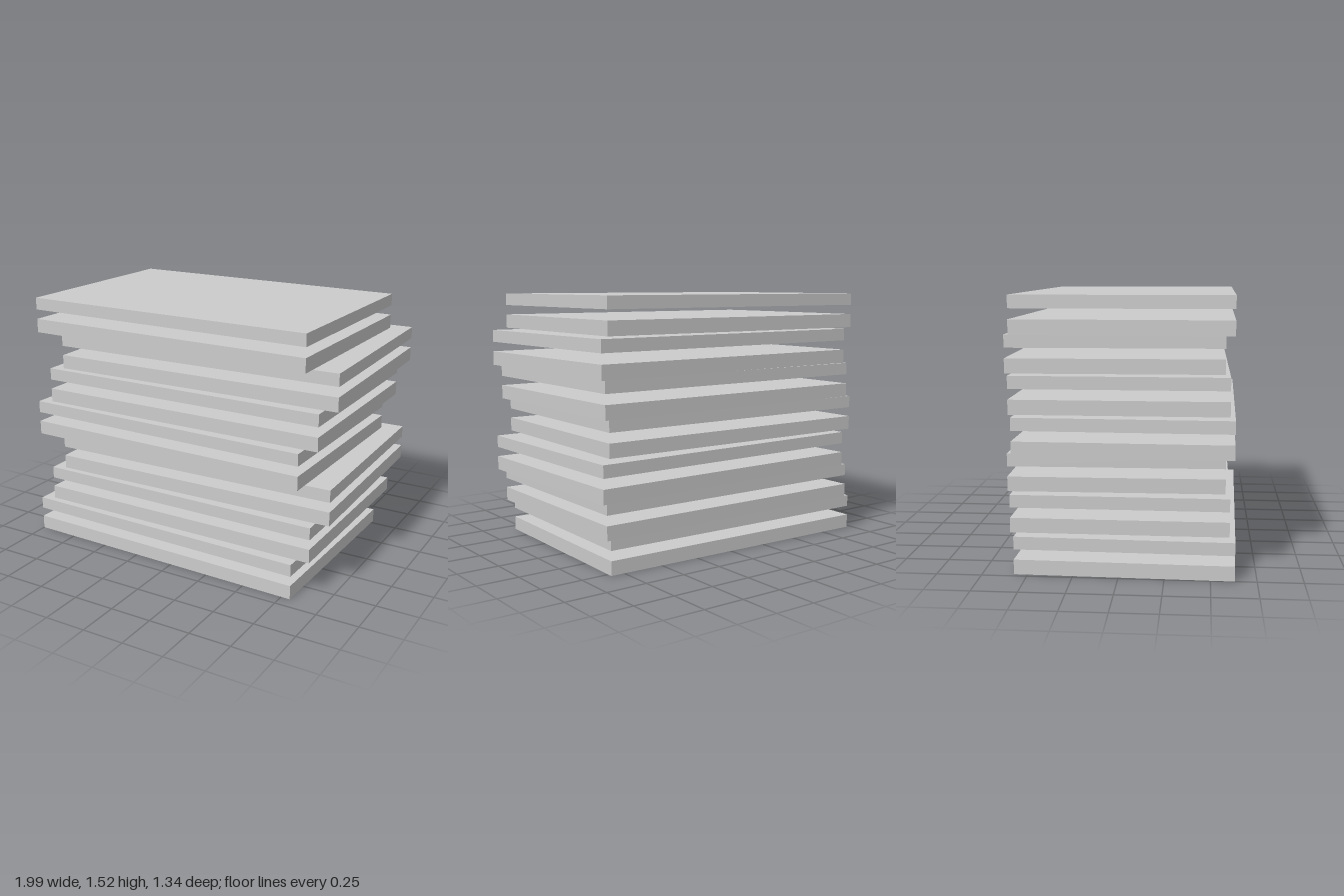
import * as THREE from 'three';

const WIDTH = 1.805, DEPTH = 1.206, STEP = 0.2185;

// Centre x, centre z and turn about y of each pair of boards, bottom to top
const PAIRS = [
  [-0.083, 0.0485, -0.0235],
  [-0.011, 0.004, -0.006],
  [0.0615, -0.039, 0.0157],
  [-0.0655, 0.0364, -0.0185],
  [0.008, -0.007, 0.001],
  [0.079, -0.0515, 0.02],
  [-0.047, 0.025, -0.0135],
];

export function createModel() {
  const group = new THREE.Group();
  group.name = 'boardStack';
  const material = new THREE.MeshStandardMaterial({ color: 0xcccccc, flatShading: true });

  // A flat board spanning the heights from bottom to top
  const board = (name, bottom, top) => {
    const mesh = new THREE.Mesh(new THREE.BoxGeometry(WIDTH, top - bottom, DEPTH), material);
    mesh.name = name;
    mesh.position.y = (bottom + top) / 2;
    return mesh;
  };

  // Each layer is a thicker lower board and a thinner upper one with a gap between
  PAIRS.forEach(([x, z, turn], i) => {
    const pair = new THREE.Group();
    pair.name = `boardPair${i + 1}`;
    pair.add(board('lowerBoard', 0, 0.083), board('upperBoard', 0.141, 0.213));
    pair.position.set(x, i * STEP, z);
    pair.rotation.y = turn;
    group.add(pair);
  });

  return group;
}
